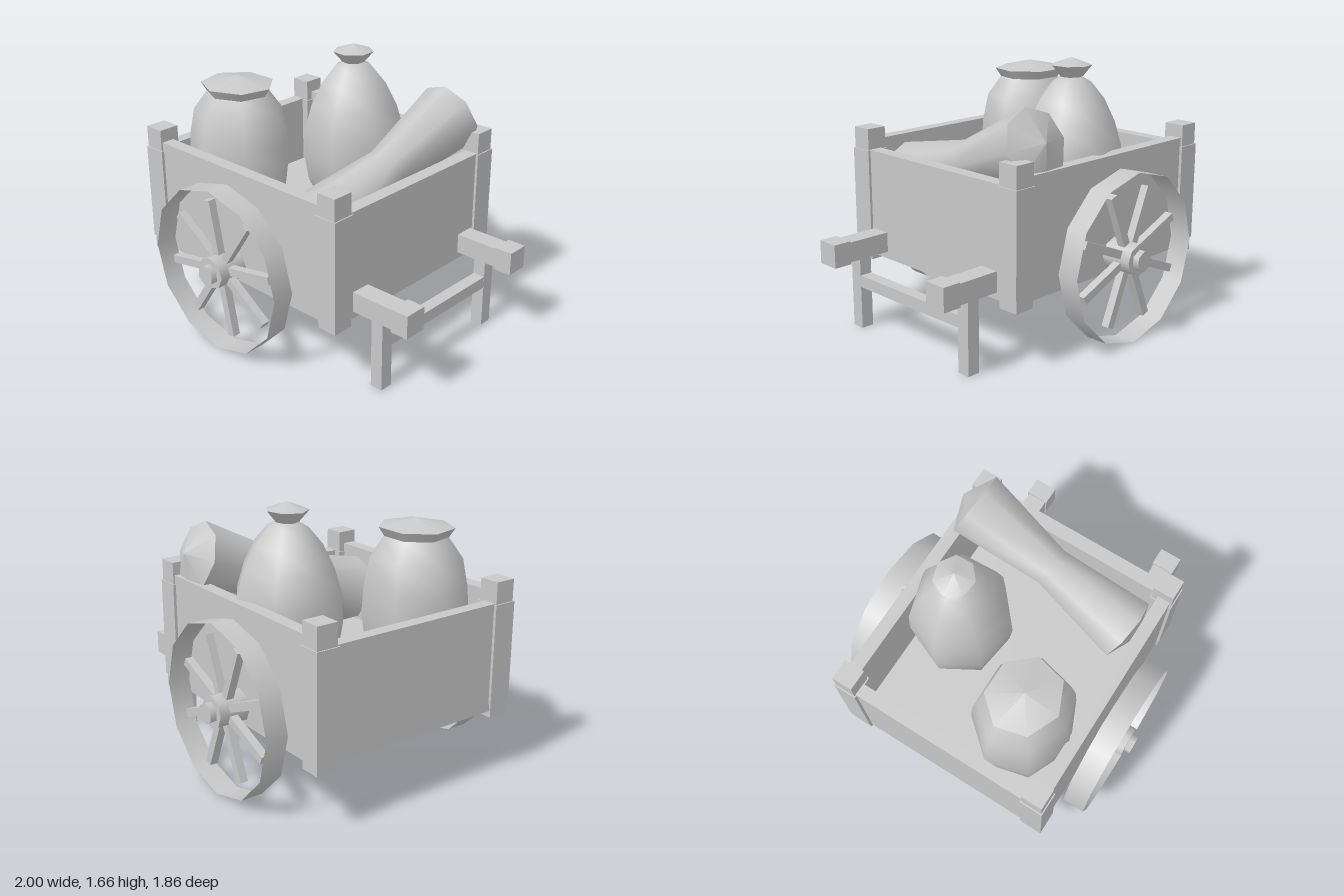
import * as THREE from 'three';

const grey = new THREE.MeshStandardMaterial({ color: 0xc8c8c8, side: THREE.DoubleSide });
grey.name = 'plain grey';

function add(parent, name, geometry, x = 0, y = 0, z = 0) {
  const mesh = new THREE.Mesh(geometry, grey);
  mesh.name = name;
  mesh.position.set(x, y, z);
  parent.add(mesh);
  return mesh;
}

// Box given by its lower and upper limits on each axis
function box(parent, name, [x0, x1], [y0, y1], [z0, z1]) {
  return add(parent, name, new THREE.BoxGeometry(x1 - x0, y1 - y0, z1 - z0),
    (x0 + x1) / 2, (y0 + y1) / 2, (z0 + z1) / 2);
}

// Turned form made of separately smoothed profiles, so edges between them stay sharp
function turned(name, sides, profiles) {
  const group = new THREE.Group();
  group.name = name;
  for (const [part, points] of Object.entries(profiles)) {
    add(group, part, new THREE.LatheGeometry(points.map(p => new THREE.Vector2(...p)), sides));
  }
  return group;
}

// Wheel centred on its axle, outer side facing +z
function makeWheel(name, firstSpoke) {
  const wheel = new THREE.Group();
  wheel.name = name;
  const disc = (r, depth, sides, open = false) =>
    new THREE.CylinderGeometry(r, r, depth, sides, 1, open).rotateX(Math.PI / 2);
  add(wheel, 'rim', disc(0.525, 0.14, 12, true));
  add(wheel, 'hub', disc(0.1, 0.2, 8), 0, 0, -0.01);
  add(wheel, 'axleNut', disc(0.065, 0.08, 6), 0, 0, 0.09);
  for (let i = 0; i < 8; i++) {
    const spoke = new THREE.BoxGeometry(0.37, 0.05, 0.05).translate(0.25, 0, 0);
    add(wheel, 'spoke', spoke).rotation.z = firstSpoke + i * Math.PI / 4;
  }
  return wheel;
}

export function createModel() {
  const cart = new THREE.Group();
  cart.name = 'handcart';

  // Tray
  box(cart, 'floor', [-0.92, 0.54], [0.58, 0.63], [-0.63, 0.63]);
  box(cart, 'backWall', [-0.98, -0.9], [0.41, 1.08], [-0.64, 0.64]);
  box(cart, 'handleWall', [0.51, 0.597], [0.41, 1.08], [-0.64, 0.64]);

  for (const s of [1, -1]) {
    const span = (a, b) => s > 0 ? [a, b] : [-b, -a];
    box(cart, 'sideWall', [-0.94, 0.55], [0.41, 1.13], span(0.615, 0.697));

    // Corner posts with a sleeve around the middle
    for (const x of [-0.925, 0.54]) {
      box(cart, 'cornerPost', [x - 0.065, x + 0.065], [0.37, 1.21], span(0.575, 0.708));
      box(cart, 'postSleeve', [x - 0.073, x + 0.073], [0.455, 1.075], span(0.567, 0.715));
    }

    // Handle beam running under the floor, with its grip and leg
    box(cart, 'handleBeam', [-0.9, 0.89], [0.455, 0.58], span(0.425, 0.55));
    box(cart, 'grip', [0.883, 1], [0.447, 0.592], span(0.415, 0.56));
    box(cart, 'leg', [0.717, 0.798], [0, 0.46], span(0.443, 0.527));

    // Wheels
    const wheel = makeWheel(s > 0 ? 'frontWheel' : 'rearWheel', s > 0 ? 0.19 : Math.PI / 8);
    wheel.position.set(-0.234, 0.525, s * 0.8);
    if (s < 0) wheel.rotation.y = Math.PI;
    cart.add(wheel);
  }
  box(cart, 'legCrossbar', [0.718, 0.797], [0.27, 0.345], [-0.45, 0.45]);

  // Wide sack, slightly flattened front to back
  const wideSack = turned('wideSack', 7, {
    sackBody: [[0, 0.63], [0.25, 0.63], [0.31, 0.78], [0.337, 0.98], [0.325, 1.15], [0.29, 1.32], [0.2, 1.44]],
    sackLip: [[0.2, 1.44], [0.237, 1.495]],
    sackTop: [[0.237, 1.495], [0, 1.545]],
  });
  wideSack.position.set(-0.56, 0, 0.327);
  wideSack.scale.z = 0.92;
  cart.add(wideSack);

  // Tall tied sack, leaning a little
  const tallSack = turned('tallSack', 7, {
    sackBody: [[0, 0.63], [0.24, 0.63], [0.31, 0.77], [0.337, 0.95], [0.325, 1.13], [0.28, 1.28],
      [0.21, 1.42], [0.125, 1.52], [0.07, 1.55]],
    sackLip: [[0.07, 1.55], [0.13, 1.62]],
    sackTop: [[0.13, 1.62], [0, 1.665]],
  });
  tallSack.position.set(-0.195, 0, -0.352);
  tallSack.rotation.set(0, 0.29, 0.016);
  tallSack.scale.z = 0.95;
  cart.add(tallSack);

  // Leaning bundle, narrow at the waist
  const low = new THREE.Vector3(0.29, 0.87, 0.525);
  const high = new THREE.Vector3(0.355, 1.262, -0.607);
  const half = low.distanceTo(high) / 2;
  const bundle = turned('bundle', 8, {
    lowerEnd: [[0, -half - 0.09], [0.22, -half]],
    wrap: [[0.22, -half], [0.135, 0], [0.22, half]],
    upperEnd: [[0.22, half], [0, half + 0.09]],
  });
  bundle.position.copy(low).add(high).multiplyScalar(0.5);
  bundle.quaternion.setFromUnitVectors(new THREE.Vector3(0, 1, 0), high.clone().sub(low).normalize());
  cart.add(bundle);

  return cart;
}
